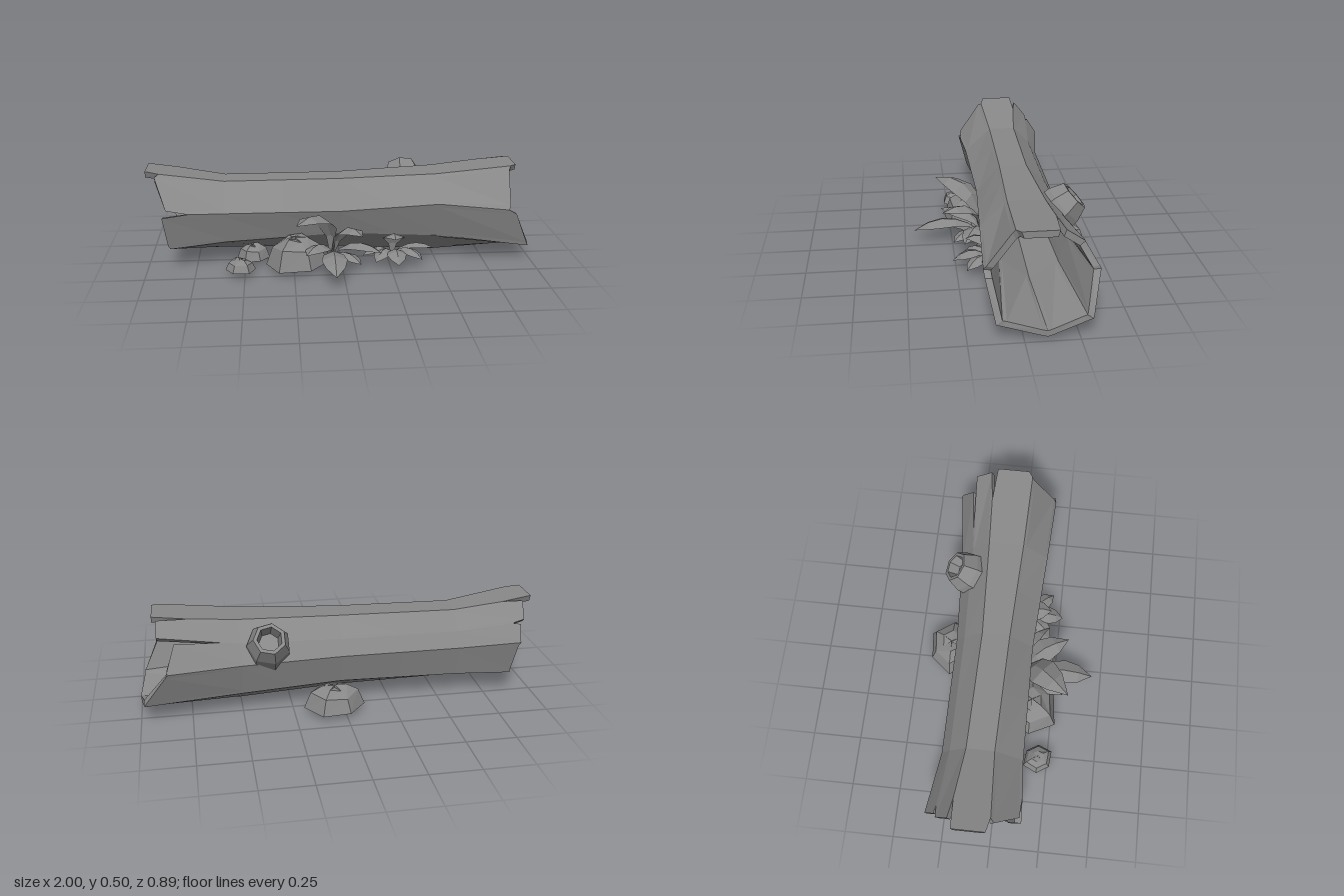
import * as THREE from 'three';

const bark = new THREE.MeshStandardMaterial({ color: 0x888888, flatShading: true });
const foliage = new THREE.MeshStandardMaterial({ color: 0x888888, flatShading: true, side: THREE.DoubleSide });

// Skin a list of rows of [x, y, z] points
function loft(rows, closed = true) {
  const n = rows[0].length, index = [];
  for (let r = 0; r < rows.length - 1; r++) {
    for (let i = 0; i < (closed ? n : n - 1); i++) {
      const j = (i + 1) % n;
      const a = r * n + i, b = r * n + j, c = a + n, d = b + n;
      index.push(a, c, b, b, c, d);
    }
  }
  const g = new THREE.BufferGeometry();
  g.setAttribute('position', new THREE.Float32BufferAttribute(rows.flat(2), 3));
  g.setIndex(index);
  g.computeVertexNormals();
  return g;
}

function add(parent, name, geometry, material = bark) {
  const m = new THREE.Mesh(geometry, material);
  m.name = name;
  parent.add(m);
  return m;
}

// Trunk sections: x, then [z, y] corners from front top over the back
const sections = [
  [-0.96, [[0.01, 0.485], [-0.19, 0.485], [-0.27, 0.39], [-0.33, 0.3], [-0.28, 0.11], [-0.09, 0.045], [0.11, 0.1], [0.16, 0.31]]],
  [-0.6, [[-0.01, 0.43], [-0.15, 0.43], [-0.235, 0.345], [-0.28, 0.27], [-0.24, 0.11], [-0.09, 0.04], [0.08, 0.13], [0.13, 0.3]]],
  [0, [[0, 0.435], [-0.14, 0.435], [-0.235, 0.345], [-0.28, 0.27], [-0.24, 0.12], [-0.09, 0.03], [0.07, 0.16], [0.12, 0.295]]],
  [0.5, [[0.02, 0.455], [-0.16, 0.455], [-0.25, 0.365], [-0.31, 0.27], [-0.26, 0.1], [-0.09, 0], [0.09, 0.14], [0.15, 0.33]]],
  [0.92, [[0.03, 0.495], [-0.18, 0.495], [-0.285, 0.425], [-0.365, 0.27], [-0.3, 0.09], [-0.1, 0.02], [0.12, 0.09], [0.17, 0.29]]],
];

// Ragged ends: x just before, at and just after each corner
const leftEnd = [[-0.95, -0.93, -1], [-1, -0.85, -0.95], [-0.94, -0.88, -0.92], [-0.91, -0.91, -0.9],
  [-0.88, -0.88, -0.88], [-0.83, -0.83, -0.83], [-0.88, -0.88, -0.89], [-0.91, -0.78, -0.89]];
const rightEnd = [[0.88, 0.89, 0.92], [0.92, 0.74, 0.9], [0.9, 0.6, 0.82], [0.86, 0.86, 0.87],
  [0.97, 0.98, 0.98], [1, 1, 1], [0.98, 0.98, 0.97], [0.9, 0.86, 0.87]];

function corner(x, i) {
  let s = 0;
  while (s < sections.length - 2 && x > sections[s + 1][0]) s++;
  const [x0, a] = sections[s], [x1, b] = sections[s + 1];
  const t = (x - x0) / (x1 - x0);
  return [0, 1].map(k => THREE.MathUtils.lerp(a[i][k], b[i][k], t));
}

// Ring of three points per corner; end gives the x of each point
function trunkRing(end, scale = 1) {
  const ring = [];
  for (let i = 0; i < 8; i++) {
    for (let k = 0; k < 3; k++) {
      const x = Array.isArray(end) ? end[i][k] : end;
      const p = corner(x, i), q = corner(x, (i + (k === 2 ? 1 : 7)) % 8);
      const t = k === 1 ? 0 : 0.1;
      const z = p[0] + (q[0] - p[0]) * t, y = p[1] + (q[1] - p[1]) * t;
      ring.push([x, 0.25 + (y - 0.25) * scale, -0.09 + (z + 0.09) * scale]);
    }
  }
  return ring;
}

// Upright ring around the y axis, with optional variation per side
function ring(n, y, r, wobble = () => 1) {
  return Array.from({ length: n }, (_, i) => {
    const a = (i / n) * Math.PI * 2, w = wobble(i);
    return [Math.cos(a) * r * w, y * w, Math.sin(a) * r * w];
  });
}

function rock(parent, name, x, z, rx, rz, height, seed) {
  const wobble = i => 0.95 + 0.08 * Math.sin(i * 2.4 + seed);
  const rows = [[0, 0], [0, 1], [0.72, 0.78], [1, 0.4], [1.02, 0]]
    .map(([y, r]) => ring(6, y, r, wobble));
  const m = add(parent, name, loft(rows));
  m.position.set(x, 0.025, z);
  m.scale.set(rx, height, rz);
}

// Creased leaf along an arching path from base through a bend to the tip
function leaf(parent, base, bend, tip, width) {
  const [b, m, t] = [base, bend, tip].map(p => new THREE.Vector3(...p));
  const path = new THREE.QuadraticBezierCurve3(b, m, t);
  const side = new THREE.Vector3(t.z - b.z, 0, b.x - t.x).normalize();
  const rows = [0.12, 0.35, 0.8, 1, 0.75, 0].map((w, i) => {
    const p = path.getPoint(i / 5);
    return [-1, 0, 1].map(s => [p.x + side.x * s * w * width,
      p.y - Math.abs(s) * w * width * 0.4, p.z + side.z * s * w * width]);
  });
  add(parent, 'leaf', loft(rows, false), foliage);
}

function plant(parent, name, base, leaves) {
  const g = new THREE.Group();
  g.name = name;
  for (const [bend, tip, width] of leaves) leaf(g, base, bend, tip, width);
  parent.add(g);
}

export function createModel() {
  const model = new THREE.Group();
  model.name = 'fallenLog';

  // Trunk with a deep hollow at each end
  add(model, 'trunk', loft([
    trunkRing(-0.1, 0), trunkRing(-0.1, 0.82), trunkRing(-0.6, 0.83), trunkRing(leftEnd, 0.86), trunkRing(leftEnd),
    ...[-0.6, -0.3, 0, 0.25, 0.5].map(x => trunkRing(x)),
    trunkRing(rightEnd), trunkRing(rightEnd, 0.87), trunkRing(0.5, 0.83), trunkRing(0.1, 0.82), trunkRing(0.1, 0),
  ]));

  // Broken branch stub on the upper back
  const stub = add(model, 'branchStub', loft([
    ring(7, -0.06, 0.115), ring(7, 0.03, 0.108), ring(7, 0.1, 0.08),
    ring(7, 0.1, 0.062), ring(7, 0.04, 0.05), ring(7, 0.04, 0),
  ]));
  stub.position.set(0.365, 0.343, -0.252);
  stub.rotation.x = -0.84;

  // Rocks
  rock(model, 'backRock', 0.05, -0.32, 0.15, 0.14, 0.11, 1);
  rock(model, 'frontRock', -0.24, 0.14, 0.17, 0.15, 0.145, 3);
  rock(model, 'smallRock', -0.52, 0.2, 0.085, 0.08, 0.055, 5);
  rock(model, 'hiddenRock', -0.46, 0.04, 0.085, 0.08, 0.075, 2);

  // Plants against the front of the trunk
  plant(model, 'largePlant', [-0.05, 0.04, 0.09], [
    [[-0.05, 0.2, 0.26], [-0.05, 0.065, 0.45], 0.065],
    [[-0.05, 0.39, 0.11], [-0.24, 0.29, 0.325], 0.08],
    [[0, 0.3, 0.12], [0.09, 0.22, 0.305], 0.065],
    [[-0.1, 0.2, 0.16], [-0.19, 0.125, 0.3], 0.06],
    [[0.06, 0.19, 0.12], [0.2, 0.09, 0.2], 0.055],
    [[0.02, 0.13, 0.17], [0.09, 0.05, 0.25], 0.045],
  ]);
  plant(model, 'smallPlant', [0.27, 0.04, 0.07], [
    [[0.28, 0.15, 0.17], [0.28, 0.045, 0.265], 0.05],
    [[0.22, 0.14, 0.14], [0.17, 0.04, 0.2], 0.045],
    [[0.34, 0.14, 0.13], [0.41, 0.05, 0.205], 0.045],
    [[0.27, 0.22, 0.08], [0.27, 0.16, 0.2], 0.06],
    [[0.37, 0.14, 0.08], [0.48, 0.08, 0.11], 0.04],
    [[0.19, 0.13, 0.09], [0.11, 0.05, 0.12], 0.04],
  ]);
  return model;
}
